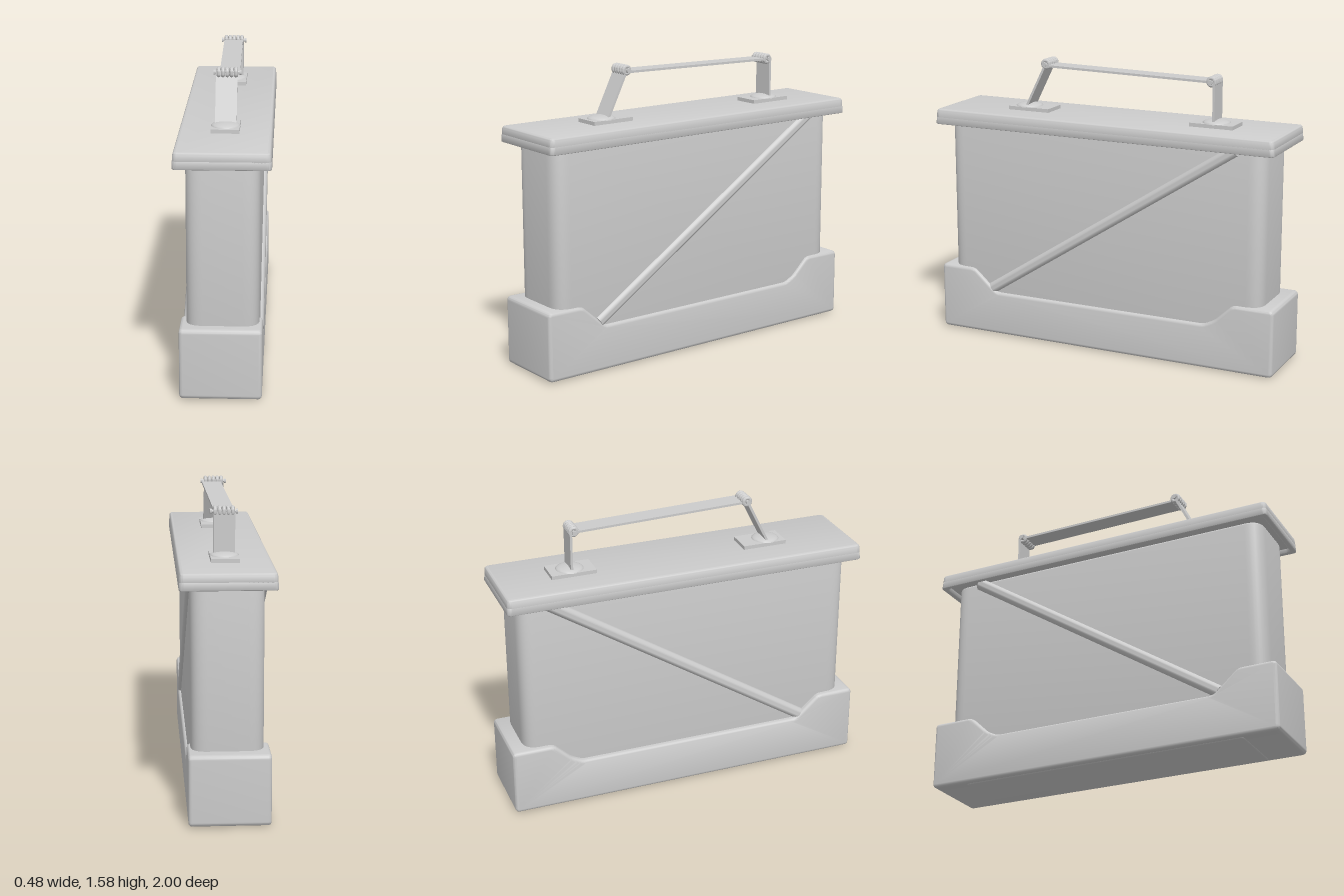
import * as THREE from 'three';
import { toCreasedNormals } from 'three/addons/utils/BufferGeometryUtils.js';

const material = new THREE.MeshStandardMaterial({ color: 0xcccccc });

// Closed outline through corner points, each corner softened by radius r
function softShape(points, r, Type = THREE.Shape) {
  const v = points.map(([x, y]) => new THREE.Vector2(x, y));
  const shape = new Type();
  v.forEach((p, i) => {
    const prev = v[(i + v.length - 1) % v.length];
    const next = v[(i + 1) % v.length];
    const a = p.clone().add(prev.clone().sub(p).setLength(r));
    const b = p.clone().add(next.clone().sub(p).setLength(r));
    if (i === 0) shape.moveTo(a.x, a.y);
    else shape.lineTo(a.x, a.y);
    shape.quadraticCurveTo(p.x, p.y, b.x, b.y);
  });
  shape.closePath();
  return shape;
}

const rect = (w, d) => [[-w / 2, -d / 2], [w / 2, -d / 2], [w / 2, d / 2], [-w / 2, d / 2]];

// Extrusion of total depth h, with rounded edges kept inside the outline
function extrude(shape, h, bevel) {
  const geo = new THREE.ExtrudeGeometry(shape, {
    depth: h - 2 * bevel, bevelEnabled: bevel > 0, bevelThickness: bevel,
    bevelSize: bevel, bevelOffset: -bevel, bevelSegments: 4, curveSegments: 8,
  });
  return geo.translate(0, 0, bevel);
}

// Upright slab with rounded plan corners, standing on y
function slab(w, d, h, y, r, bevel) {
  return extrude(softShape(rect(w, d), r), h, bevel).rotateX(-Math.PI / 2).translate(0, y, 0);
}

export function createModel() {
  const model = new THREE.Group();
  model.name = 'carryCase';

  function add(name, geo, x = 0, y = 0, z = 0, parent = model) {
    const mesh = new THREE.Mesh(toCreasedNormals(geo, 0.65), material);
    mesh.name = name;
    mesh.position.set(x, y, z);
    parent.add(mesh);
    return mesh;
  }

  // Bar lying in the z-y plane between two [z, y] points
  function align(mesh, [z0, y0], [z1, y1]) {
    mesh.position.set(mesh.position.x, (y0 + y1) / 2, (z0 + z1) / 2);
    mesh.rotation.x = Math.atan2(z1 - z0, y1 - y0);
    return mesh;
  }

  // Base tray: side profile with raised ends, extruded across the width
  const profile = [
    [-1, 0.005], [1, 0.005], [1, 0.378], [0.79, 0.375], [0.65, 0.25],
    [-0.61, 0.25], [-0.67, 0.28], [-0.77, 0.375], [-1, 0.375],
  ];
  add('base', extrude(softShape(profile, 0.025), 0.415, 0.018)
    .rotateY(-Math.PI / 2).translate(0.2, 0, 0));
  add('foot', slab(0.36, 1.6, 0.03, 0, 0.02, 0.008), -0.007);

  // Body with broad rounded vertical corners
  add('body', slab(0.368, 1.86, 1.11, 0.1, 0.085, 0.012), 0, 0, 0.005);

  // Diagonal rib half sunk into each side
  for (const [name, x] of [['leftRib', 0.17], ['rightRib', -0.178]]) {
    const rib = add(name, new THREE.CylinderGeometry(0.034, 0.034, 1.72, 24), x);
    align(rib, [0.68, 0.27], [-0.765, 1.205]);
  }

  // Lid: solid top with a downturned rim, flaring slightly toward the bottom
  const rimShape = softShape(rect(0.486, 1.99), 0.025);
  rimShape.holes.push(softShape(rect(0.43, 1.93).reverse(), 0.025, THREE.Path));
  const rim = extrude(rimShape, 0.05, 0.008).rotateX(-Math.PI / 2).translate(0, 1.2, 0);
  const top = slab(0.486, 1.99, 0.06, 1.225, 0.025, 0.014);
  for (const geo of [rim, top]) {
    const p = geo.attributes.position;
    for (let i = 0; i < p.count; i++) {
      const t = (p.getY(i) - 1.2) / 0.085;
      p.setX(i, p.getX(i) - Math.sign(p.getX(i)) * 0.006 * t);
      p.setZ(i, p.getZ(i) - Math.sign(p.getZ(i)) * 0.006 * t);
    }
  }
  add('lidRim', rim);
  add('lidTop', top);

  // Handle mounts: plate, dome, upright strap and curled hinge at each end
  const mounts = [
    { name: 'front', plateZ: 0.495, domeZ: 0.525, foot: [0.52, 1.3], hinge: [0.395, 1.55], x: 0.008 },
    { name: 'rear', plateZ: -0.585, domeZ: -0.59, foot: [-0.592, 1.3], hinge: [-0.592, 1.525], x: 0.002 },
  ];
  for (const m of mounts) {
    const group = new THREE.Group();
    group.name = m.name + 'HandleMount';
    model.add(group);
    add('plate', new THREE.BoxGeometry(0.145, 0.022, 0.245), 0, 1.294, m.plateZ, group);
    const dome = new THREE.SphereGeometry(0.075, 32, 8, 0, Math.PI * 2, 0, Math.PI / 2);
    add('dome', dome.scale(1, 0.27, 1), 0, 1.303, m.domeZ, group);
    const length = Math.hypot(m.hinge[0] - m.foot[0], m.hinge[1] - m.foot[1]);
    align(add('strap', new THREE.BoxGeometry(0.11, length, 0.013), 0, 0, 0, group), m.foot, m.hinge);

    // Hinge knuckles and pin
    const hz = m.name === 'rear' ? -0.575 : m.hinge[0];
    const hy = m.hinge[1];
    for (let i = 0; i < 5; i++) {
      const ring = new THREE.TorusGeometry(0.019, 0.0105, 10, 24).rotateY(Math.PI / 2);
      add('knuckle', ring, (i - 2) * 0.022 + m.x * 0.4, hy, hz, group);
    }
    const pin = new THREE.CylinderGeometry(0.008, 0.008, 0.135, 12).rotateZ(Math.PI / 2);
    add('pin', pin, m.x * 0.5, hy, hz, group);
    for (const side of [-1, 1]) {
      const head = new THREE.CylinderGeometry(0.013, 0.013, 0.01, 12).rotateZ(Math.PI / 2);
      add('pinHead', head, side * 0.066 + m.x * 0.5, hy, hz, group);
    }
  }

  // Flat grip joining the two hinges, set slightly askew
  const grip = new THREE.BoxGeometry(0.105, 0.985, 0.012).rotateX(Math.PI / 2);
  const mesh = add('grip', grip, 0.007, 1.533, -0.09);
  mesh.rotation.set(-0.02, 0.018, 0);

  return model;
}
